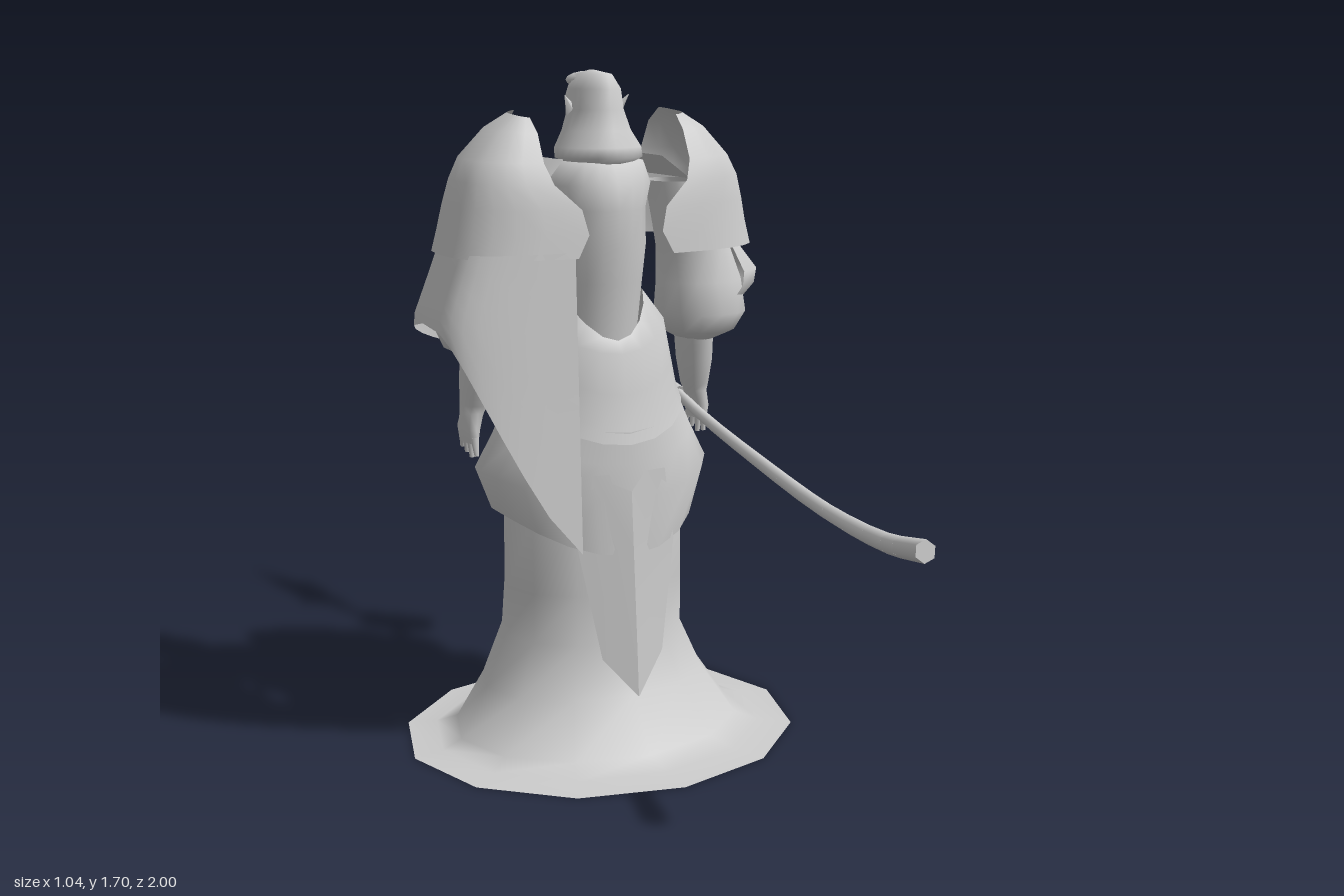
import * as THREE from 'three';

const grey = new THREE.MeshStandardMaterial({ color: 0xcccccc, side: THREE.DoubleSide });
grey.name = 'stoneGrey';
const V = (x, y, z) => new THREE.Vector3(x, y, z);

function add(parent, name, geometry) {
  const m = new THREE.Mesh(geometry, grey);
  m.name = name;
  parent.add(m);
  return m;
}

// Grid surface from a rule f(i, j); wrap closes it around i
function grid(ni, nj, f, wrap = false) {
  const pos = [], idx = [], cols = wrap ? ni : ni + 1;
  for (let j = 0; j <= nj; j++)
    for (let i = 0; i < cols; i++) pos.push(...f(i / ni, j));
  for (let j = 0; j < nj; j++)
    for (let i = 0; i < ni; i++) {
      const k = (i + 1) % cols, a = j * cols + i, b = j * cols + k;
      idx.push(a, a + cols, b, b, a + cols, b + cols);
    }
  const g = new THREE.BufferGeometry();
  g.setAttribute('position', new THREE.Float32BufferAttribute(pos, 3));
  g.setIndex(idx);
  g.computeVertexNormals();
  return g;
}

// Elliptical rings from top to bottom: [y, xCentre, halfWidth, zCentre, halfDepth]
function loft(rings, n = 16, dy = () => 0) {
  return grid(n, rings.length - 1, (u, j) => {
    const [y, xc, hw, zc, hd] = rings[j], a = u * Math.PI * 2;
    return [xc + hw * Math.sin(a), y + dy(a, j), zc + hd * Math.cos(a)];
  }, true);
}

// Rings open on one side, swept from angle a0 to a1
function openLoft(rings, n, a0, a1) {
  return grid(n, rings.length - 1, (u, j) => {
    const [y, xc, hw, zc, hd] = rings[j], a = a0 + u * (a1 - a0);
    return [xc + hw * Math.sin(a), y, zc + hd * Math.cos(a)];
  });
}

function rod(parent, name, a, b, ra, rb, sides = 6) {
  const d = b.clone().sub(a);
  const m = add(parent, name, new THREE.CylinderGeometry(rb, ra, d.length(), sides));
  m.position.copy(a).addScaledVector(d, 0.5);
  m.quaternion.setFromUnitVectors(V(0, 1, 0), d.normalize());
  return m;
}

// Thin lens: rim points [z, y] fanned to two raised centres
function lens(rim, c, thick, xAt) {
  const pos = [];
  for (const s of [1, -1])
    rim.forEach((p, i) => {
      const q = rim[(i + 1) % rim.length];
      const tri = [[xAt(...c) + s * thick, c[1], c[0]], [xAt(...p), p[1], p[0]], [xAt(...q), q[1], q[0]]];
      if (s < 0) tri.reverse();
      pos.push(...tri.flat());
    });
  const g = new THREE.BufferGeometry();
  g.setAttribute('position', new THREE.Float32BufferAttribute(pos, 3));
  g.computeVertexNormals();
  return g;
}

export function createModel() {
  const model = new THREE.Group();
  model.name = 'robedStatue';

  // Robe with flared hem
  add(model, 'robe', loft([
    [0.85, 0, 0.2, -0.1, 0.16], [0.6, 0, 0.245, -0.1, 0.175], [0.4, 0, 0.243, -0.1, 0.185],
    [0.27, 0, 0.245, -0.11, 0.2], [0.14, 0, 0.305, -0.1, 0.235], [0.02, 0, 0.385, -0.08, 0.31],
    [0.004, 0, 0.44, -0.07, 0.38], [0, 0, 0.52, -0.06, 0.46]], 12));

  // Torso and neck
  add(model, 'torso', loft([
    [1.48, 0, 0.06, -0.08, 0.06], [1.475, 0, 0.12, -0.07, 0.09], [1.42, 0, 0.14, -0.075, 0.12],
    [1.36, 0, 0.122, -0.08, 0.135], [1.27, 0, 0.128, -0.085, 0.135], [1.18, 0, 0.12, -0.09, 0.13],
    [1.03, 0, 0.11, -0.1, 0.12]], 20));
  rod(model, 'neck', V(0, 1.45, -0.08), V(0, 1.56, -0.09), 0.06, 0.045, 10);

  // Overskirt in two layers, dipping at the middle front and back
  const dip = (a) => -Math.pow(Math.abs(Math.cos(a)), 2);
  add(model, 'upperOverskirt', loft([
    [1.16, 0, 0.125, -0.095, 0.14], [1.08, 0, 0.185, -0.095, 0.165], [0.99, 0, 0.205, -0.1, 0.185],
    [0.91, 0, 0.22, -0.1, 0.205], [0.87, 0, 0.235, -0.1, 0.215]], 20,
    (a, j) => dip(a) * (j === 0 ? 0.12 : j === 1 ? 0.07 : 0.08)));
  add(model, 'lowerOverskirt', loft([
    [0.88, 0, 0.225, -0.1, 0.208], [0.8, 0, 0.262, -0.1, 0.215], [0.71, 0, 0.312, -0.105, 0.225],
    [0.6, 0, 0.265, -0.105, 0.228]], 20, (a, j) => dip(a) * (j < 3 ? 0.06 : 0.09)));

  // Folded back tail and split front tails
  const back = [[0.72, 0.1, 0.115, 0.105], [0.53, 0.135, 0.13, 0.09], [0.25, 0.085, 0.153, 0.125], [0.15, 0.002, 0.16, 0.16]];
  const front = [[0.72, 0.01, 0.12, -0.325], [0.54, 0.012, 0.145, -0.342], [0.24, 0.022, 0.1, -0.335], [0.18, 0.03, 0.05, -0.328]];
  for (const s of [1, -1]) {
    add(model, 'backTail', grid(1, 3, (u, j) => {
      const [y, w, zc, ze] = back[j];
      return [s * u * w, y, zc + (ze - zc) * u];
    }));
    add(model, 'frontTail', grid(1, 3, (u, j) => {
      const [y, xi, xo, z] = front[j];
      return [s * (xi + (xo - xi) * u), y, z + 0.04 * u];
    }));
  }

  // Head, hair, beard and ears; the face looks toward -z
  const head = new THREE.Group();
  head.name = 'head';
  model.add(head);
  add(head, 'face', loft([
    [1.685, 0, 0.01, -0.1, 0.03], [1.67, 0, 0.045, -0.1, 0.08], [1.63, 0, 0.06, -0.1, 0.088],
    [1.58, 0, 0.06, -0.1, 0.085], [1.54, 0, 0.048, -0.11, 0.075], [1.51, 0, 0.025, -0.13, 0.04]], 16));
  add(head, 'hair', openLoft([
    [1.695, 0, 0.004, -0.1, 0.01], [1.685, 0, 0.04, -0.1, 0.08], [1.65, 0, 0.061, -0.09, 0.09],
    [1.6, 0, 0.068, -0.085, 0.09], [1.55, 0, 0.085, -0.08, 0.1], [1.51, 0, 0.11, -0.07, 0.105],
    [1.485, 0, 0.112, -0.065, 0.105], [1.47, 0, 0.08, -0.06, 0.08]], 16, -1.75, 1.75));
  const quiff = add(head, 'quiff', new THREE.SphereGeometry(1, 12, 8));
  quiff.scale.set(0.05, 0.022, 0.095);
  quiff.position.set(0, 1.67, -0.11);
  rod(head, 'nose', V(0, 1.575, -0.188), V(0, 1.62, -0.178), 0.014, 0.006, 4);
  rod(head, 'beard', V(0, 1.49, -0.165), V(0, 1.545, -0.145), 0.008, 0.04, 8);

  for (const s of [1, -1]) {
    rod(head, 'ear', V(s * 0.055, 1.585, -0.09), V(s * 0.088, 1.635, -0.07), 0.02, 0.001, 4);

    const side = new THREE.Group();
    side.name = s > 0 ? 'leftArm' : 'rightArm';
    side.scale.x = s;
    model.add(side);

    // Domed shoulder guard, open toward the neck: [y, inner x, outer x, back z, front z]
    const dome = [[1.585, 0.2, 0.23, -0.03, -0.12], [1.55, 0.198, 0.285, 0.01, -0.17], [1.48, 0.198, 0.35, 0.045, -0.21],
      [1.43, 0.18, 0.375, 0.065, -0.225], [1.37, 0.115, 0.393, 0.08, -0.24], [1.31, 0.1, 0.405, 0.088, -0.255],
      [1.255, 0.13, 0.418, 0.092, -0.262]];
    add(side, 'shoulderGuard', grid(12, 6, (u, j) => {
      const [y, xi, xo, zb, zf] = dome[j], c = Math.cos(Math.PI * u);
      return [xi + (xo - xi) * Math.pow(Math.sin(Math.PI * u) + 1e-9, 0.75), y + 0.015 * u,
        (zb + zf) / 2 + (zb - zf) / 2 * Math.sign(c) * Math.pow(Math.abs(c), 0.7)];
    }));
    // Collar wing between neck and guard
    add(side, 'collar', grid(4, 1, (u, j) => {
      const a = Math.PI * u;
      return [(j ? 0.2 : 0.135) + 0.01 * Math.sin(a), j ? 1.43 : 1.487, -0.08 + (j ? 0.13 : 0.1) * Math.cos(a)];
    }));

    // Puffed sleeve, forearm and palm
    add(side, 'sleeve', loft([
      [1.42, 0.22, 0.07, -0.08, 0.08], [1.25, 0.28, 0.1, -0.08, 0.085], [1.16, 0.3, 0.118, -0.082, 0.095],
      [1.08, 0.305, 0.122, -0.085, 0.118], [1.03, 0.305, 0.095, -0.095, 0.1], [1.005, 0.305, 0.045, -0.11, 0.06]], 14));
    add(side, 'forearm', loft([
      [1.03, 0.3, 0.052, -0.105, 0.06], [0.95, 0.308, 0.047, -0.115, 0.058], [0.88, 0.315, 0.036, -0.125, 0.045],
      [0.86, 0.32, 0.03, -0.13, 0.038], [0.82, 0.328, 0.024, -0.135, 0.05], [0.785, 0.328, 0.018, -0.135, 0.045]], 10));
    for (let i = 0; i < 4; i++) {
      const z = -0.098 - i * 0.025;
      rod(side, 'finger', V(0.328, 0.8, z), V(0.325, 0.745 + 0.008 * Math.abs(i - 1), z - 0.006 * (i - 1)), 0.011, 0.006);
    }
    rod(side, 'thumb', V(0.315, 0.84, -0.16), V(0.29, 0.785, -0.185), 0.013, 0.007);
  }

  // Turned-out cuff on the left sleeve
  add(model, 'sleeveFlap', openLoft([
    [1.25, 0.3, 0.11, -0.09, 0.1], [1.185, 0.3, 0.165, -0.09, 0.12],
    [1.15, 0.3, 0.158, -0.09, 0.12], [1.11, 0.3, 0.12, -0.09, 0.1]], 8, 0.5, 2.6));

  // Half cape hanging from the right shoulder
  add(model, 'cape', grid(16, 6, (u, j) => {
    const v = j / 6, a = Math.PI * u, c = Math.cos(a), sn = Math.pow(Math.sin(a) + 1e-9, 0.8);
    const low = u < 0.5 ? 0.53 + 0.57 * Math.pow(sn, 1.3) : 1.1 - 0.12 * (u - 0.5) * 2;
    const y = 1.27 + (low - 1.27) * v;
    const xo = 0.4 + 0.065 * Math.min(1, (1.27 - y) / 0.16);
    const z = c > 0 ? -0.08 + (0.17 + 0.035 * v) * Math.pow(c, 0.5) : -0.08 - 0.165 * Math.pow(-c, 0.5);
    return [-(0.138 + (xo - 0.138) * sn), y, z];
  }));

  // Long curved staff, thicker at the butt
  const staff = new THREE.Group();
  staff.name = 'staff';
  model.add(staff);
  const path = new THREE.CatmullRomCurve3([V(0.228, 0.722, 1), V(0.25, 0.695, 0.84), V(0.278, 0.695, 0.57),
    V(0.288, 0.745, 0.25), V(0.29, 0.815, -0.07), V(0.277, 0.89, -0.26), V(0.275, 0.94, -0.39),
    V(0.255, 1.03, -0.6), V(0.238, 1.1, -0.74)]);
  const P = path.getPoints(24);
  P.slice(1).forEach((p, i) => rod(staff, 'shaft', P[i], p, 0.026 - 0.013 * Math.min(1, i / 14), 0.026 - 0.013 * Math.min(1, (i + 1) / 14)));
  for (const t of [0.66, 0.7, 0.74]) {
    const p = path.getPointAt(t), d = path.getTangentAt(t).multiplyScalar(0.02);
    rod(staff, 'gripRing', p.clone().sub(d), p.clone().add(d), 0.022, 0.016);
  }

  // Leaf blade and spiked head
  add(staff, 'leafBlade', lens([[-0.44, 1.05], [-0.395, 0.98], [-0.38, 0.91], [-0.42, 0.83], [-0.53, 0.79],
    [-0.57, 0.9], [-0.565, 1.0], [-0.49, 1.005]], [-0.475, 0.93], 0.012, (z, y) => 0.285 - (y - 0.93) * 0.35));
  add(staff, 'spikedHead', lens([[-0.65, 1.25], [-0.705, 1.2], [-0.82, 1.2], [-0.85, 1.23], [-0.93, 1.2], [-0.995, 1.235],
    [-0.97, 1.18], [-0.92, 1.165], [-0.94, 1.125], [-0.91, 1.095], [-0.9, 1.03], [-0.865, 1.03], [-0.85, 0.945],
    [-0.81, 1.02], [-0.725, 1.01], [-0.655, 0.98], [-0.685, 1.05], [-0.65, 1.085], [-0.66, 1.125], [-0.57, 1.155],
    [-0.69, 1.14], [-0.69, 1.18]], [-0.79, 1.11], 0.035, (z) => 0.238 + (z + 0.79) * 0.13));
  for (const [x, y, z] of [[0.31, 1.15, -0.86], [0.17, 1.07, -0.65], [0.29, 1.06, -0.66], [0.18, 1.15, -0.84]])
    rod(staff, 'spike', V(0.238, 1.11, -0.77), V(x, y, z), 0.022, 0.001, 4);

  return model;
}
